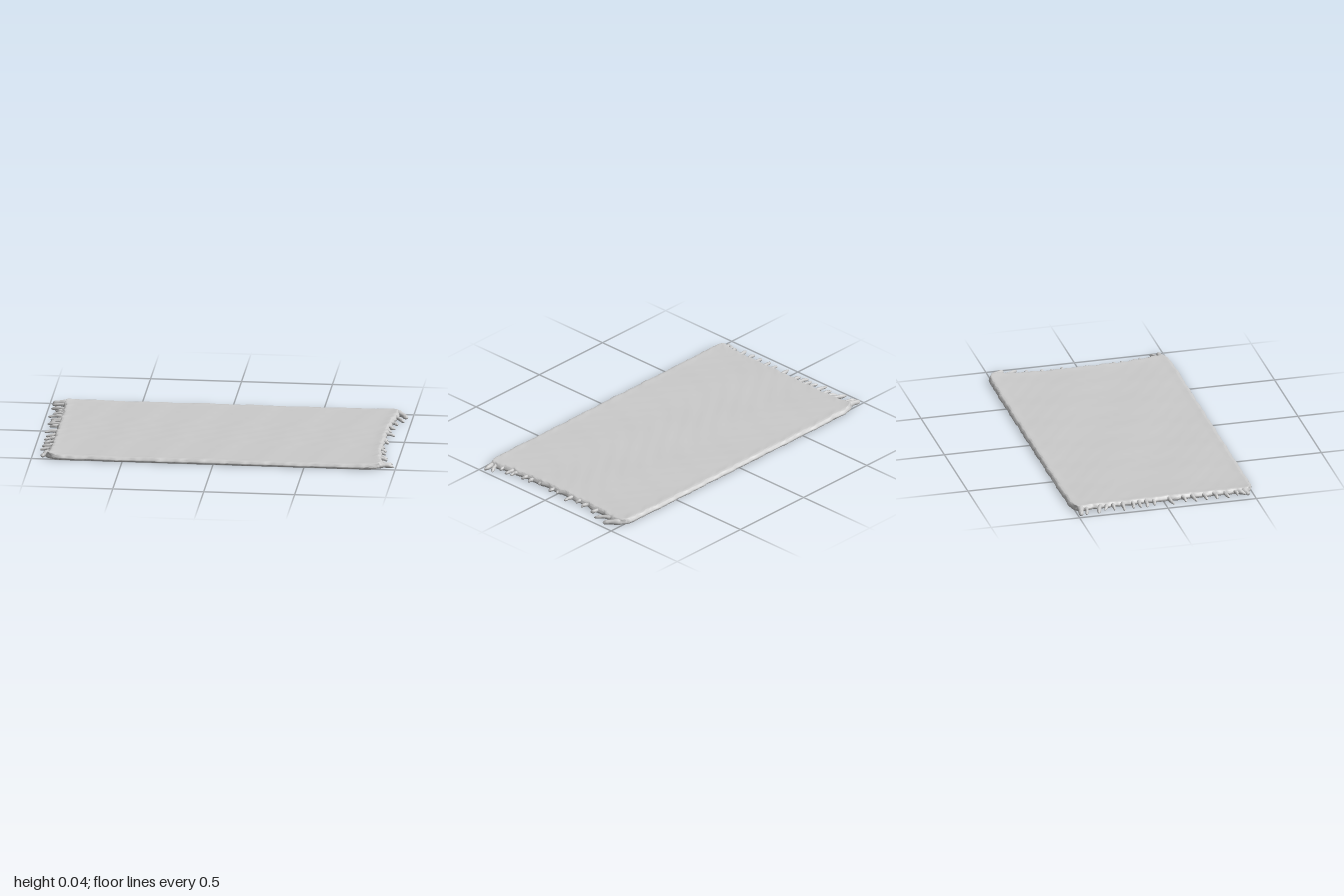
import * as THREE from 'three';
import { mergeVertices, toCreasedNormals } from 'three/addons/utils/BufferGeometryUtils.js';

const material = new THREE.MeshStandardMaterial({ color: 0xcccccc });
const { sin, abs, sqrt, min, max, sign } = Math;

// Smooth-shade a geometry but keep the hard fold along its flat underside
function finish(geometry, angle) {
  geometry.deleteAttribute('normal');
  geometry.deleteAttribute('uv');
  return toCreasedNormals(mergeVertices(geometry, 1e-5), angle);
}

// Small irregular waviness along an edge
const ripple = (t, s) => 0.4 * sin(23 * t + s) + 0.35 * sin(51 * t + 2 * s) + 0.25 * sin(97 * t + 3 * s);

// Height of the woven top at a point, with soft creases, raised hems and corners
function topHeight(x, z, edge) {
  const creases = 0.0008 * sin(21 * x + 4 * z) + 0.0008 * sin(13 * z - 7 * x + 1)
    + 0.0005 * sin(43 * x + 3 * sin(9 * z)) * sin(37 * z + 2);
  const hem = max(0, 1 - edge / 0.05) * (0.002 + 0.002 * ripple(x + 1.3 * z, 2));
  const corner = 0.008 * abs(x / 0.92) ** 16 * abs(z / 0.51) ** 10;
  const bend = 0.004 * abs(x / 0.92) ** 12;
  return 0.0245 + creases + hem + min(corner, 0.008) + bend;
}

// Rug body: a dense slab, flat below, with rounded wavy edges
function clothGeometry() {
  const g = new THREE.BoxGeometry(2, 1, 2, 130, 4, 90);
  const p = g.attributes.position;
  const spread = (t) => t * (1.15 - 0.15 * t ** 6); // finer rows near the edges
  for (let i = 0; i < p.count; i++) {
    const u = spread(p.getX(i)), v = spread(p.getZ(i)), h = p.getY(i) + 0.5;
    const halfX = (u > 0 ? 0.892 + 0.045 * abs(v) ** 3 : 0.908 + 0.022 * abs(v) ** 8)
      - 0.03 * abs(v) ** 40 + 0.007 * ripple(v, u > 0 ? 1 : 4);
    const halfZ = (v > 0 ? 0.508 : 0.517) - 0.025 * abs(u) ** 30 + 0.004 * ripple(u, v > 0 ? 3 : 5);
    // blend the edge waviness in towards the border only
    const x = u * (0.91 + (halfX - 0.91) * abs(u) ** 3);
    const z = v * (0.512 + (halfZ - 0.512) * abs(v) ** 3);
    const edge = min((1 - abs(u)) * halfX, (1 - abs(v)) * halfZ);
    const roll = 1 - min(1, edge / 0.014);
    const y = h * topHeight(x, z, edge) * sqrt(1 - 0.6 * roll * roll);
    const bulge = 0.005 * sin(Math.PI * h);
    p.setXYZ(i,
      x + (abs(u) > 0.9999 ? sign(u) * bulge : 0), y,
      z + (abs(v) > 0.9999 ? sign(v) * bulge : 0));
  }
  return finish(g, 1.0);
}

// One fringe strand: a tapering, bent yarn flattened on the ground
function strandGeometry([x0, z0, x1, z1, r = 0.012], i) {
  const from = new THREE.Vector3(x0, 0.013, z0), to = new THREE.Vector3(x1, 0.006, z1);
  const mid = from.clone().lerp(to, 0.55);
  mid.z += 0.006 * sin(i * 2.4);
  mid.y = 0.013;
  const curve = new THREE.CatmullRomCurve3([from, mid, to]);
  const rings = 12, sides = 10;
  const g = new THREE.TubeGeometry(curve, rings, r, sides);
  const p = g.attributes.position, v = new THREE.Vector3();
  for (let k = 0; k < p.count; k++) {
    const t = Math.floor(k / (sides + 1)) / rings;
    const c = curve.getPointAt(t);
    const size = (1 - 0.35 * t + 0.1 * sin(9 * t + i)) * sqrt(max(0, 1 - t ** 8));
    v.fromBufferAttribute(p, k).sub(c).multiplyScalar(size).add(c);
    p.setXYZ(k, v.x, max(0, v.y), v.z);
  }
  return finish(g, 1.2);
}

// Strands as [root x, root z, tip x, tip z, radius]
const rightFringe = [
  [-0.90, -0.47, -0.985, -0.485, 0.019], [-0.90, -0.44, -0.985, -0.455, 0.012],
  [-0.89, -0.35, -0.985, -0.385, 0.014], [-0.89, -0.32, -0.955, -0.345],
  [-0.89, -0.285, -0.965, -0.29], [-0.89, -0.23, -0.985, -0.238],
  [-0.89, -0.18, -0.965, -0.185], [-0.89, -0.135, -0.965, -0.14],
  [-0.89, -0.10, -0.975, -0.108], [-0.89, -0.06, -0.96, -0.063],
  [-0.89, 0.03, -0.975, 0.045], [-0.89, 0.10, -0.96, 0.115],
  [-0.89, 0.16, -0.965, 0.175], [-0.89, 0.225, -0.96, 0.235],
  [-0.89, 0.28, -0.965, 0.29], [-0.89, 0.345, -0.968, 0.36],
  [-0.90, 0.40, -0.945, 0.41], [-0.91, 0.42, -0.945, 0.455, 0.015],
  [-0.90, 0.45, -0.95, 0.475, 0.017],
];
const leftFringe = [
  [0.91, -0.485, 0.975, -0.41, 0.018], [0.91, -0.41, 0.965, -0.335],
  [0.90, -0.30, 0.935, -0.28], [0.89, -0.22, 0.93, -0.205],
  [0.88, -0.16, 0.915, -0.15], [0.88, -0.10, 0.94, -0.085],
  [0.87, -0.01, 0.91, 0.00], [0.87, 0.035, 0.92, 0.052],
  [0.87, 0.13, 0.91, 0.14], [0.88, 0.19, 0.925, 0.20],
  [0.88, 0.24, 0.925, 0.255], [0.89, 0.30, 0.94, 0.32],
  [0.89, 0.34, 0.945, 0.358], [0.90, 0.40, 0.935, 0.405],
  [0.91, 0.45, 0.98, 0.42], [0.91, 0.475, 0.993, 0.47, 0.015],
];

function fringe(name, strands) {
  const group = new THREE.Group();
  group.name = name;
  strands.forEach((s, i) => {
    const mesh = new THREE.Mesh(strandGeometry(s, i), material);
    mesh.name = 'strand';
    group.add(mesh);
  });
  return group;
}

export function createModel() {
  const rug = new THREE.Group();
  rug.name = 'rug';
  const cloth = new THREE.Mesh(clothGeometry(), material);
  cloth.name = 'cloth';
  rug.add(cloth, fringe('rightFringe', rightFringe), fringe('leftFringe', leftFringe));
  return rug;
}
